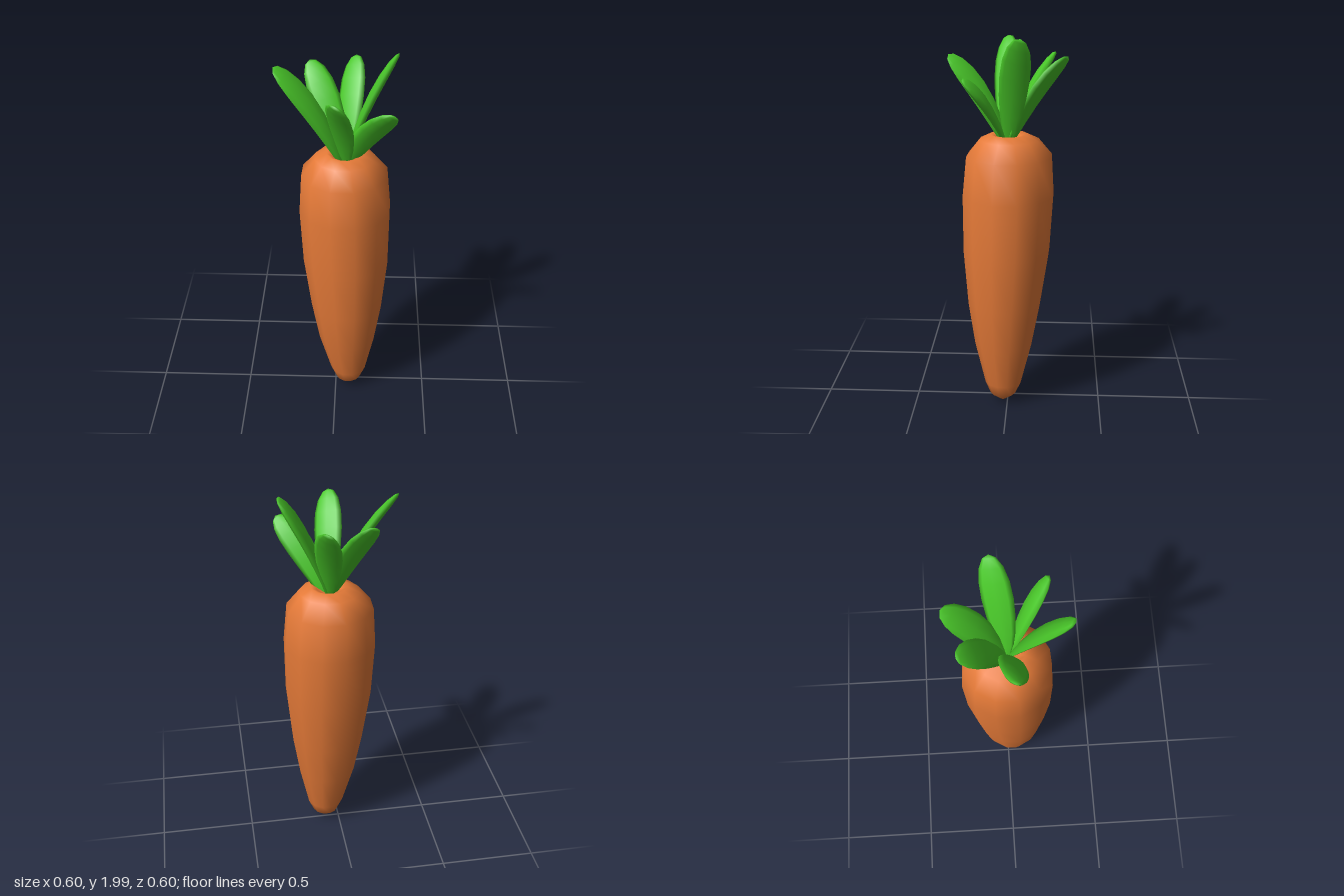
import * as THREE from 'three';
import { mergeVertices } from 'three/addons/utils/BufferGeometryUtils.js';

const orange = new THREE.MeshStandardMaterial({ color: 0xe57a38 });
orange.name = 'carrot orange';
const green = new THREE.MeshStandardMaterial({ color: 0x49c729 });
green.name = 'leaf green';

// Weld seams and poles so the shading runs smoothly around the whole form
function smooth(geometry) {
  geometry.deleteAttribute('uv');
  geometry.deleteAttribute('normal');
  const welded = mergeVertices(geometry, 1e-4);
  welded.computeVertexNormals();
  return welded;
}

// Twelve-sided root whose centre line drifts slightly: [radius, y, centre x, centre z]
function makeRoot() {
  const rings = [
    [0, 0, 0.072, 0.025], [0.069, 0.05, 0.071, 0.024], [0.099, 0.12, 0.071, 0.022],
    [0.156, 0.35, 0.063, 0.02], [0.195, 0.58, 0.06, 0.015], [0.229, 0.87, 0.054, 0.004],
    [0.239, 1.17, 0.047, -0.004], [0.223, 1.375, 0.043, -0.008], [0.153, 1.46, 0.044, -0.007],
    [0.094, 1.488, 0.046, -0.006], [0.065, 1.475, 0.046, -0.004], [0, 1.43, 0.045, 0],
  ];
  const geometry = new THREE.LatheGeometry(
    rings.map(([r, y]) => new THREE.Vector2(r, y)), 12, THREE.MathUtils.degToRad(13));
  const pos = geometry.attributes.position;
  for (let i = 0; i < pos.count; i++) {
    const [, , cx, cz] = rings[i % rings.length];
    pos.setX(i, pos.getX(i) + cx);
    pos.setZ(i, pos.getZ(i) + cz);
  }
  return new THREE.Mesh(smooth(geometry), orange);
}

// Flattened ellipsoid that arches outward to its tip, rolled about its own length
function makeLeaf(base, tip, halfWidth, rollDegrees) {
  const start = new THREE.Vector3(...base);
  const end = new THREE.Vector3(...tip);
  const bend = start.clone().lerp(end, 0.5);
  bend.x += (start.x - end.x) * 0.12;
  bend.z += (start.z - end.z) * 0.12;
  bend.y += 0.065;
  const curve = new THREE.QuadraticBezierCurve3(start, bend, end);
  const level = new THREE.Vector3(end.z - start.z, 0, start.x - end.x).normalize();
  const roll = THREE.MathUtils.degToRad(rollDegrees);

  const geometry = new THREE.SphereGeometry(1, 8, 9);
  const pos = geometry.attributes.position;
  const v = new THREE.Vector3();
  for (let i = 0; i < pos.count; i++) {
    v.fromBufferAttribute(pos, i);
    const t = THREE.MathUtils.clamp((v.y + 1) / 2, 0, 1);
    const tangent = curve.getTangent(t);
    const side = level.clone().applyAxisAngle(tangent, -roll);
    const normal = side.clone().cross(tangent);
    const taper = 0.7 + 0.48 * t;
    const point = curve.getPoint(t)
      .addScaledVector(side, v.x * halfWidth * 1.06 * taper)
      .addScaledVector(normal, v.z * 0.024 * taper);
    pos.setXYZ(i, point.x, point.y, point.z);
  }
  return new THREE.Mesh(smooth(geometry), green);
}

export function createModel() {
  const model = new THREE.Group();
  model.name = 'carrot';

  const root = makeRoot();
  root.name = 'root';
  model.add(root);

  // Crown of six leaves: name, base, tip, half width, roll
  const crown = new THREE.Group();
  crown.name = 'leafCrown';
  const leaves = [
    ['rightLeaf', [0.035, 1.42, 0.012], [-0.3, 1.945, 0.014], 0.072, -25],
    ['backRightLeaf', [0.038, 1.42, -0.003], [-0.14, 1.88, -0.238], 0.072, -25],
    ['backLeaf', [0.048, 1.42, -0.006], [0.093, 1.885, -0.3], 0.072, -25],
    ['leftLeaf', [0.046, 1.42, -0.003], [0.3, 1.99, -0.072], 0.074, -25],
    ['frontLeftLeaf', [0.062, 1.42, 0.005], [0.283, 1.79, 0.206], 0.068, -42],
    ['frontLeaf', [0.05, 1.42, 0.006], [0.002, 1.88, 0.3], 0.075, -25],
  ];
  for (const [name, base, tip, halfWidth, roll] of leaves) {
    const leaf = makeLeaf(base, tip, halfWidth, -roll);
    leaf.name = name;
    crown.add(leaf);
  }
  model.add(crown);
  return model;
}
